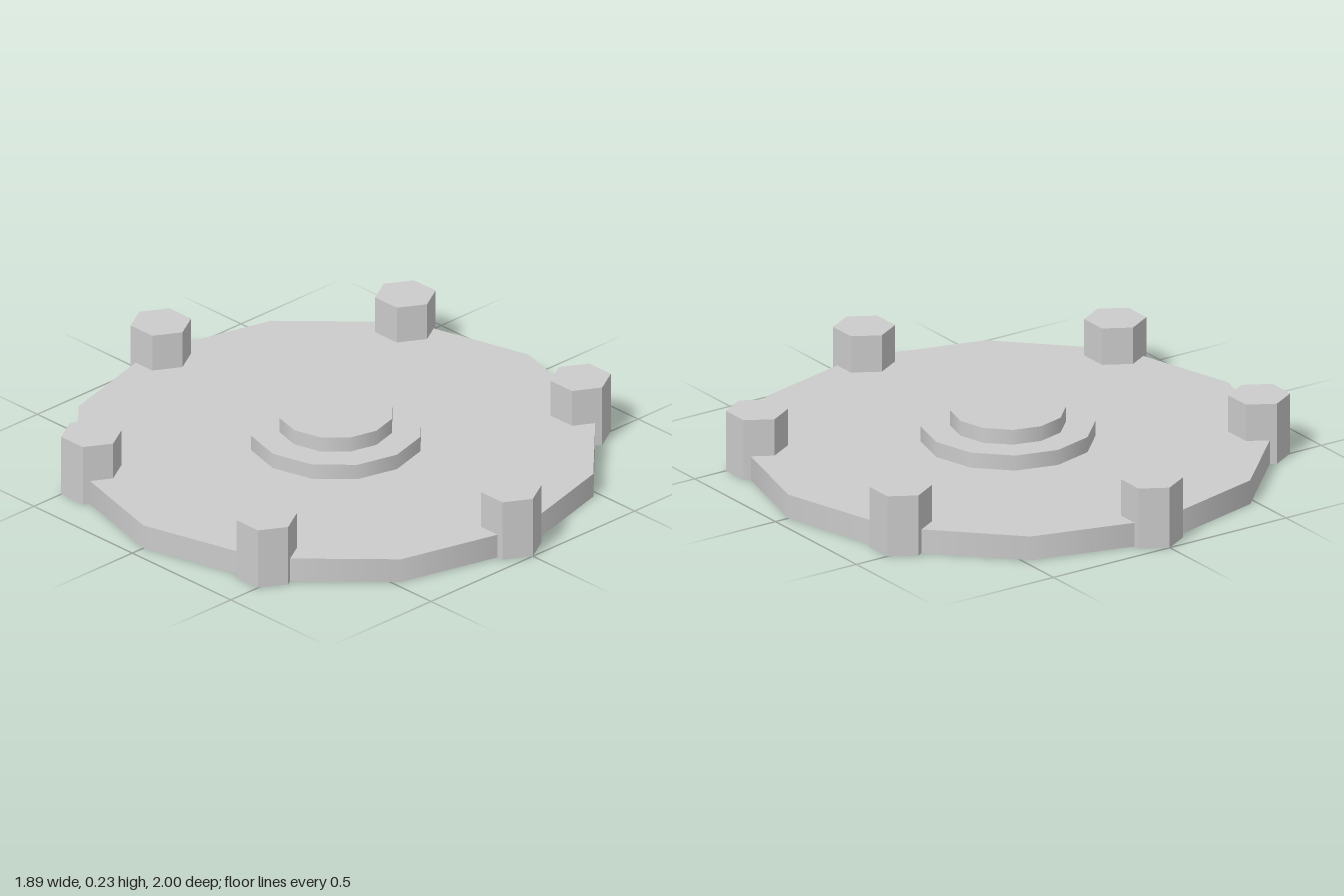
import * as THREE from 'three';
import { mergeGeometries } from 'three/addons/utils/BufferGeometryUtils.js';

// Thin shell, open underneath
const smooth = new THREE.MeshStandardMaterial({ color: 0xcccccc, side: THREE.DoubleSide });
const faceted = new THREE.MeshStandardMaterial({ color: 0xcccccc, side: THREE.DoubleSide, flatShading: true });

// Upright wall plus a flat top, with an optional round hole in the top
function tier(name, radius, y0, y1, sides, hole, material) {
  const wall = new THREE.CylinderGeometry(radius, radius, y1 - y0, sides, 1, true);
  wall.translate(0, (y0 + y1) / 2, 0);
  const start = Math.PI / 2;
  const top = hole > 0
    ? new THREE.RingGeometry(hole, radius, sides, 1, start)
    : new THREE.CircleGeometry(radius, sides, start);
  top.rotateX(-Math.PI / 2).translate(0, y1, 0);
  const mesh = new THREE.Mesh(mergeGeometries([wall, top]), material);
  mesh.name = name;
  return mesh;
}

export function createModel() {
  const group = new THREE.Group();
  group.name = 'flangePlate';

  // Twelve-sided plate and stepped hub, hollow from below
  group.add(tier('plate', 0.945, 0, 0.09, 12, 0.31, smooth));
  group.add(tier('hubLower', 0.31, 0.09, 0.147, 12, 0.205, smooth));
  group.add(tier('hubUpper', 0.205, 0.147, 0.203, 12, 0, smooth));

  // Six hexagonal bolts around the rim, all with corners along z
  const bolts = new THREE.Group();
  bolts.name = 'bolts';
  for (let i = 0; i < 6; i++) {
    const a = (i * Math.PI) / 3;
    const bolt = tier('bolt', 0.11, 0, 0.228, 6, 0, faceted);
    bolt.position.set(0.89 * Math.sin(a), 0, 0.89 * Math.cos(a));
    bolts.add(bolt);
  }
  group.add(bolts);
  return group;
}
